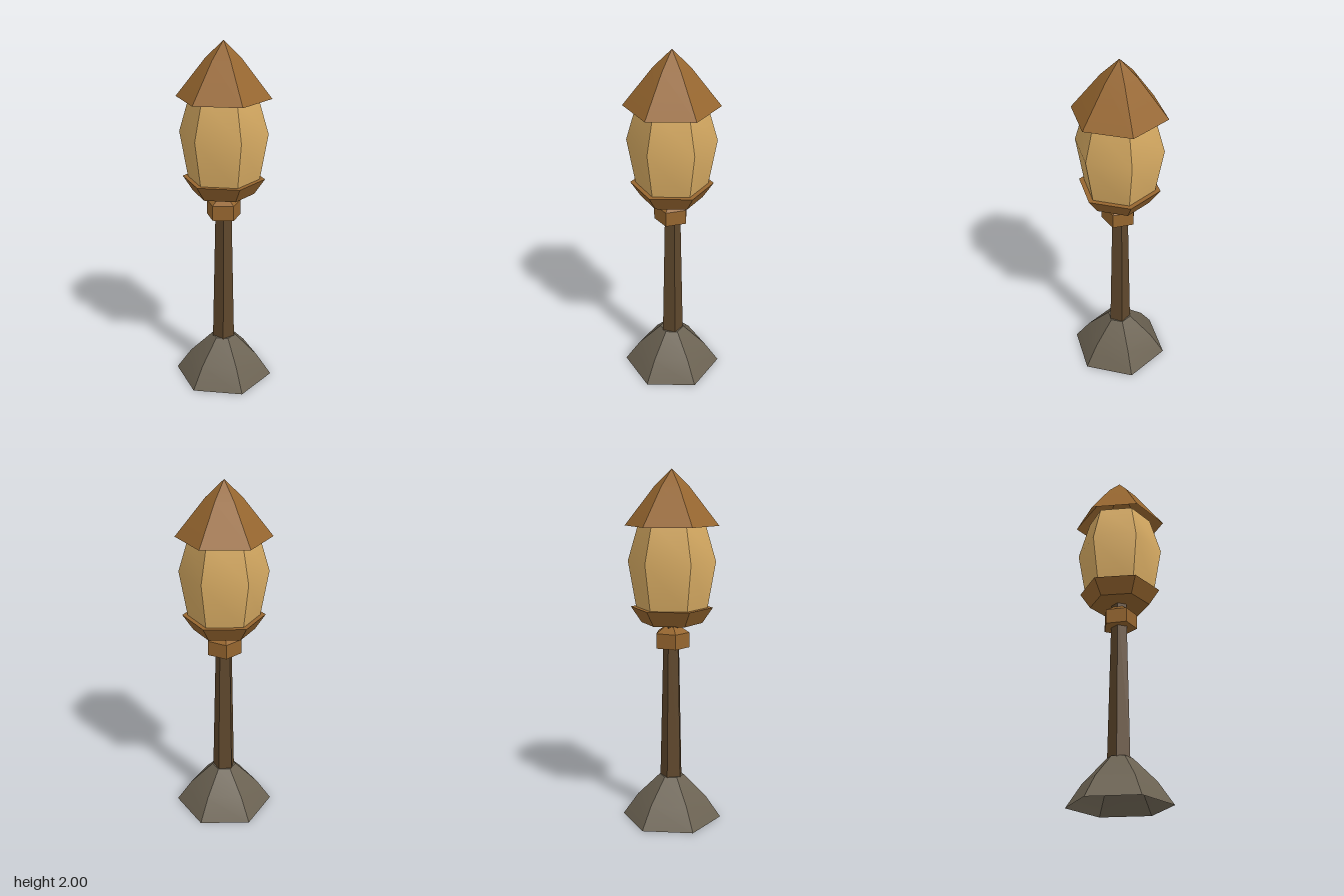
import * as THREE from 'three';
import { toCreasedNormals } from 'three/addons/utils/BufferGeometryUtils.js';

function material(name, color) {
  const m = new THREE.MeshStandardMaterial({ color, side: THREE.DoubleSide });
  m.name = name;
  return m;
}

// Faceted solid of revolution; profile rows are [radius, height], bottom to top.
function faceted(name, sides, profile, mat, turn = 0) {
  const points = profile.map(([r, y]) => new THREE.Vector2(r, y));
  const geometry = toCreasedNormals(new THREE.LatheGeometry(points, sides, turn), 0.5);
  const mesh = new THREE.Mesh(geometry, mat);
  mesh.name = name;
  return mesh;
}

export function createModel() {
  const stone = material('stone', 0x6b6252);
  const darkWood = material('dark wood', 0x5e472c);
  const copper = material('copper', 0x96662f);
  const glass = material('amber glass', 0xd6aa62);

  const lamp = new THREE.Group();
  lamp.name = 'lampPost';

  lamp.add(
    // Flared foot, hollow underneath
    faceted('base', 6, [[0.286, 0], [0.2, 0.125], [0.07, 0.255], [0, 0.255]], stone),
    // Five-sided tapering post with a flat side to the front
    faceted('post', 5, [[0.066, 0.25], [0.045, 1.16]], darkWood, Math.PI),
    // Five-sided collar with a corner to the front
    faceted('collar', 5, [[0, 1.015], [0.1, 1.015], [0.1, 1.1], [0.045, 1.135]], copper),
    // Tray holding the lantern
    faceted('lanternTray', 6, [[0, 1.155], [0.172, 1.155], [0.231, 1.243], [0, 1.243]], copper),
    // Bulging lantern body
    faceted('lanternGlass', 6, [[0.2, 1.235], [0.246, 1.5], [0.183, 1.715], [0, 1.715]], glass),
    // Pointed roof, hollow underneath
    faceted('roof', 6, [[0.262, 1.695], [0.098, 1.905], [0, 2]], copper),
  );
  return lamp;
}
